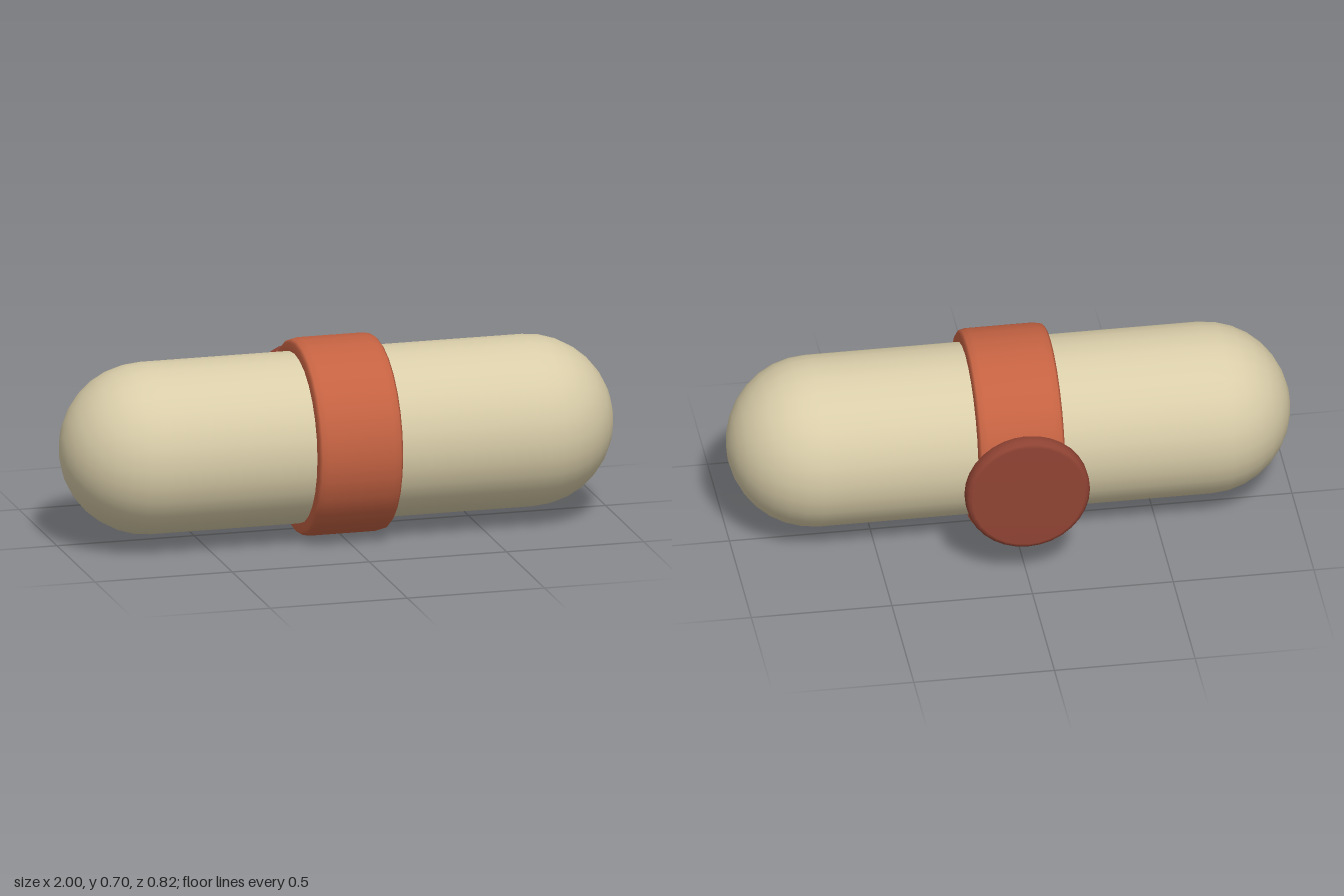
import * as THREE from 'three';

const CENTRE_Y = 0.351;
const CENTRE_Z = 0.062;

function material(name, color) {
  const m = new THREE.MeshStandardMaterial({ color });
  m.name = name;
  return m;
}

// Revolves [radius, height] pairs around y, listed from bottom to top
function lathe(profile, segments) {
  return new THREE.LatheGeometry(profile.map(([r, h]) => new THREE.Vector2(r, h)), segments);
}

export function createModel() {
  const cream = material('cream', 0xd9cda9);
  const terracotta = material('terracotta', 0xc46242);
  const darkRed = material('dark red', 0x8f4333);

  const group = new THREE.Group();
  const add = (name, geometry, mat, z) => {
    const mesh = new THREE.Mesh(geometry, mat);
    mesh.name = name;
    mesh.position.set(0, CENTRE_Y, z);
    group.add(mesh);
  };

  // Long body with a hemisphere at each end
  const R = 0.304;
  const body = new THREE.CapsuleGeometry(R, 2 - 2 * R, 8, 28);
  body.rotateZ(-Math.PI / 2);
  add('body', body, cream, CENTRE_Z);

  // Band around the middle, with softened outer edges
  const band = lathe([
    [0.295, -0.152], [0.335, -0.152], [0.345, -0.143], [0.35, -0.12],
    [0.35, 0.12], [0.345, 0.143], [0.335, 0.152], [0.295, 0.152],
  ], 28);
  band.rotateZ(-Math.PI / 2);
  add('band', band, terracotta, CENTRE_Z);

  // Neck reaching from the band to the back disc
  const neck = new THREE.CylinderGeometry(0.138, 0.138, 0.18, 32);
  neck.rotateX(-Math.PI / 2);
  add('neck', neck, darkRed, -0.27);

  // Mounting disc with rounded rim
  const disc = lathe([
    [0, -0.033], [0.2, -0.033], [0.212, -0.029], [0.221, -0.015],
    [0.221, 0.015], [0.212, 0.029], [0.2, 0.033], [0, 0.033],
  ], 32);
  disc.rotateX(-Math.PI / 2);
  add('mountingDisc', disc, darkRed, -0.377);

  return group;
}
